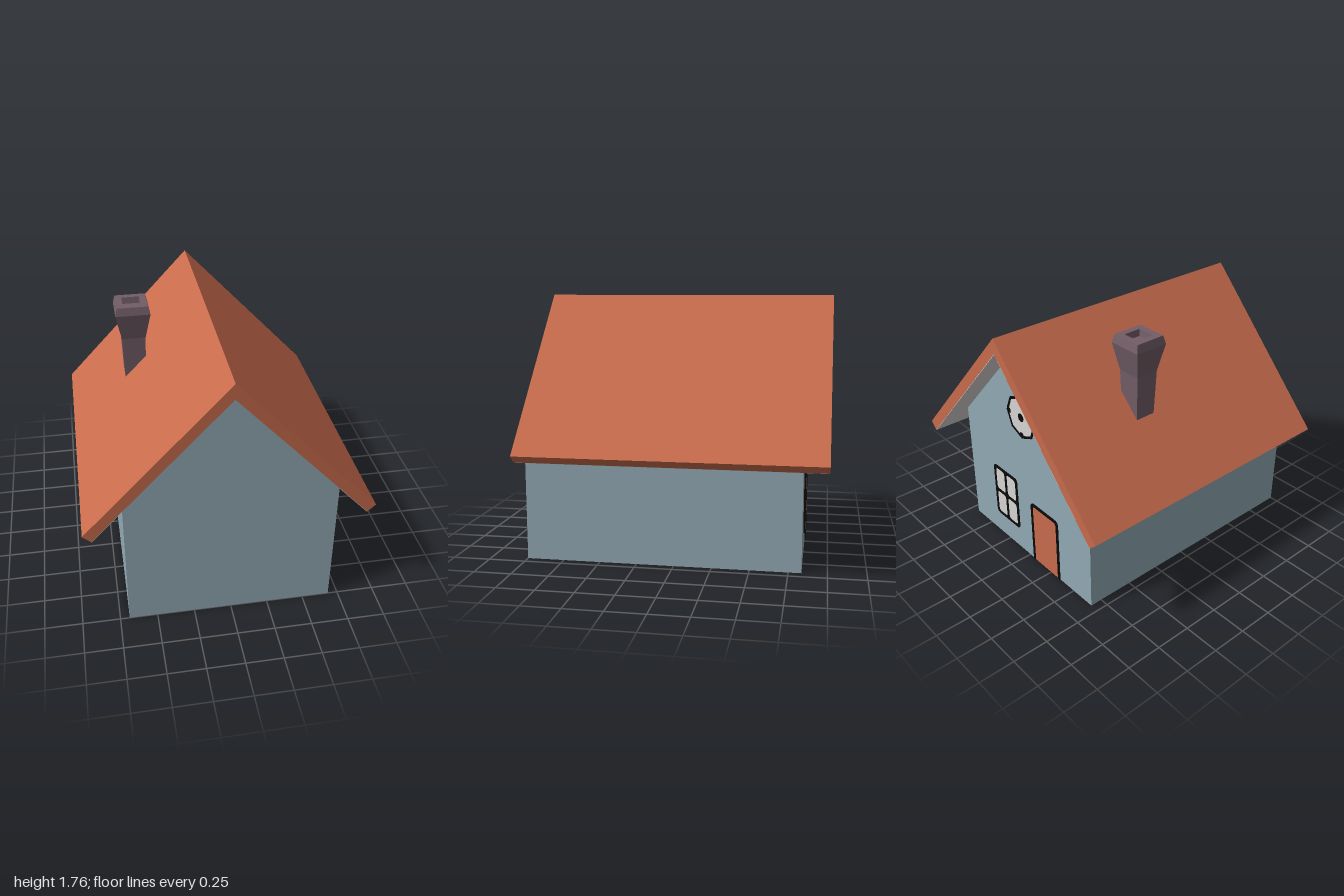
import * as THREE from 'three';

const mat = (name, color, side = THREE.FrontSide) => {
  const m = new THREE.MeshStandardMaterial({ color, side });
  m.name = name;
  return m;
};

function polygon(points) {
  return new THREE.Shape(points.map(([x, y]) => new THREE.Vector2(x, y)));
}

// Rectangle with separately rounded bottom (rb) and top (rt) corners
function roundedRect(x0, y0, x1, y1, rb, rt, target = new THREE.Shape()) {
  target.moveTo(x0 + rb, y0);
  target.lineTo(x1 - rb, y0);
  target.quadraticCurveTo(x1, y0, x1, y0 + rb);
  target.lineTo(x1, y1 - rt);
  target.quadraticCurveTo(x1, y1, x1 - rt, y1);
  target.lineTo(x0 + rt, y1);
  target.quadraticCurveTo(x0, y1, x0, y1 - rt);
  target.lineTo(x0, y0 + rb);
  target.quadraticCurveTo(x0, y0, x0 + rb, y0);
  return target;
}

function extrude(name, shape, depth, z, material) {
  const geo = new THREE.ExtrudeGeometry(shape, { depth, bevelEnabled: false, curveSegments: 4 });
  geo.translate(0, 0, z);
  const mesh = new THREE.Mesh(geo, material);
  mesh.name = name;
  return mesh;
}

export function createModel() {
  const wall = mat('wall blue', 0x92aab4);
  const roof = mat('roof terracotta', 0xc86c4d);
  const pale = mat('pale grey', 0xd8d6d4);
  const black = mat('frame black', 0x0a0a0a);
  const brick = mat('chimney mauve', 0x725d66);

  const house = new THREE.Group();
  house.name = 'house';

  // Walls: one gabled block, flush with the roof at the front
  house.add(extrude('walls', polygon([
    [-0.688, 0], [0.685, 0], [0.685, 0.924], [0, 1.655], [-0.688, 0.921],
  ]), 1.835, -0.835, wall));

  // Roof slabs and their pale underside
  house.add(extrude('roof', polygon([
    [0, 1.76], [-0.945, 0.755], [-0.89, 0.705], [0, 1.655], [0.89, 0.705], [0.945, 0.755],
  ]), 2, -1, roof));
  house.add(extrude('roofUnderside', polygon([
    [0, 1.656], [-0.89, 0.706], [-0.888, 0.703], [0, 1.65], [0.888, 0.703], [0.89, 0.706],
  ]), 1.998, -0.999, pale));

  // Chimney: square profile that flares, with a recessed flue
  const profile = [
    [0.07, 1.1], [0.082, 1.48], [0.119, 1.67], [0.106, 1.725],
    [0.062, 1.725], [0.056, 1.68], [0, 1.68],
  ].map(([half, y]) => new THREE.Vector2(half * Math.SQRT2, y));
  const stack = new THREE.LatheGeometry(profile, 4).rotateY(Math.PI / 4).toNonIndexed();
  stack.computeVertexNormals();
  const chimney = new THREE.Mesh(stack, brick);
  chimney.name = 'chimney';
  chimney.position.set(-0.48, 0, -0.25);
  house.add(chimney);

  // Painted details on the back gable
  const gable = new THREE.Group();
  gable.name = 'gableDetails';
  gable.rotation.y = Math.PI;
  gable.position.z = -0.835;
  house.add(gable);

  // Door with a frame open at the bottom
  gable.add(extrude('door', roundedRect(0.065, 0, 0.335, 0.475, 0, 0.03), 0.003, 0, roof));
  const doorFrame = roundedRect(0.048, 0, 0.352, 0.495, 0, 0.04);
  doorFrame.holes.push(roundedRect(0.07, 0.0005, 0.33, 0.472, 0, 0.025, new THREE.Path()));
  gable.add(extrude('doorFrame', doorFrame, 0.006, 0, black));

  // Four-pane window
  gable.add(extrude('windowGlass', roundedRect(-0.375, 0.185, -0.12, 0.58, 0.02, 0.02), 0.003, 0, pale));
  const windowFrame = roundedRect(-0.388, 0.172, -0.107, 0.595, 0.03, 0.03);
  for (const [x0, x1] of [[-0.366, -0.26], [-0.236, -0.129]]) {
    for (const [y0, y1] of [[0.194, 0.372], [0.396, 0.573]]) {
      windowFrame.holes.push(roundedRect(x0, y0, x1, y1, 0.025, 0.025, new THREE.Path()));
    }
  }
  gable.add(extrude('windowFrame', windowFrame, 0.006, 0, black));

  // Round window with a centre boss and short glazing ticks
  const round = new THREE.Group();
  round.name = 'roundWindow';
  round.position.y = 1.145;
  gable.add(round);
  const disc = (r) => new THREE.Shape().absarc(0, 0, r, 0, Math.PI * 2);
  round.add(extrude('roundGlass', disc(0.15), 0.003, 0, pale));
  const ring = disc(0.158);
  ring.holes.push(new THREE.Path().absarc(0, 0, 0.14, 0, Math.PI * 2));
  round.add(extrude('roundFrame', ring, 0.006, 0, black));
  round.add(extrude('roundBoss', disc(0.03), 0.006, 0, black));
  for (let i = 0; i < 4; i++) {
    const tick = extrude('glazingTick', polygon([
      [0.115, -0.012], [0.148, -0.03], [0.148, 0.03], [0.115, 0.012],
    ]), 0.006, 0, black);
    tick.rotation.z = i * Math.PI / 2;
    round.add(tick);
  }

  return house;
}
